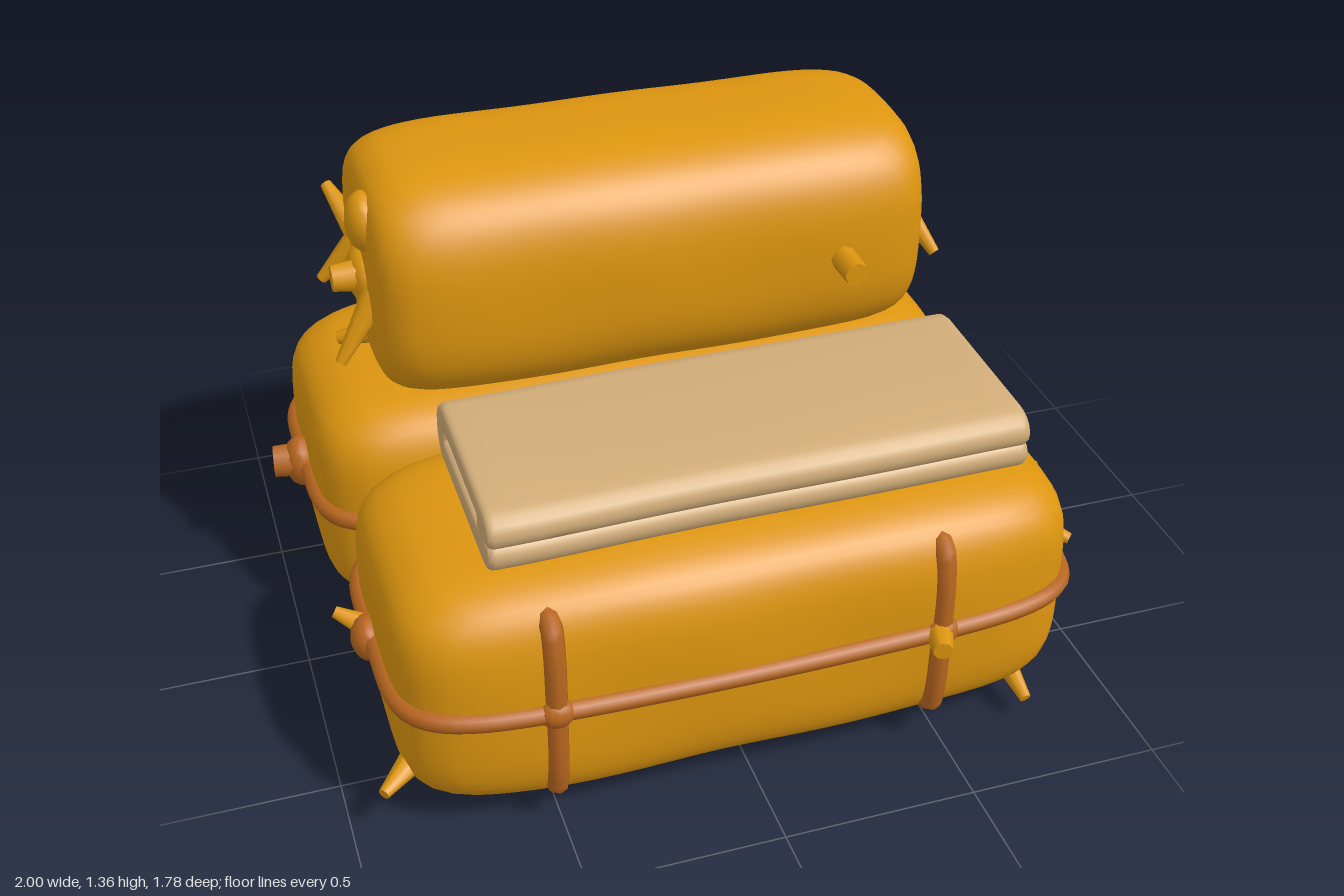
import * as THREE from 'three';
import { mergeVertices, toCreasedNormals } from 'three/addons/utils/BufferGeometryUtils.js';

const V = (x, y, z) => new THREE.Vector3(x, y, z);
const canvas = new THREE.MeshStandardMaterial({ color: 0xdd950f });
canvas.name = 'ochreCanvas';
const rope = new THREE.MeshStandardMaterial({ color: 0xb8661f });
rope.name = 'brownRope';
const wool = new THREE.MeshStandardMaterial({ color: 0xd2ad79 });
wool.name = 'tanWool';

function add(parent, name, geometry, material) {
  const mesh = new THREE.Mesh(geometry, material);
  mesh.name = name;
  parent.add(mesh);
  return mesh;
}

// Stuffed shape: a cube blown out to rounded ends (e1) and a rounded section (e2)
function stuffed(half, e1, e2, ripple) {
  let g = new THREE.BoxGeometry(2, 2, 2, 36, 20, 20);
  g.deleteAttribute('normal');
  g.deleteAttribute('uv');
  g = mergeVertices(g);
  const p = g.attributes.position;
  for (let i = 0; i < p.count; i++) {
    const v = V().fromBufferAttribute(p, i);
    const section = Math.pow(Math.abs(v.y) ** e2 + Math.abs(v.z) ** e2, 1 / e2);
    v.divideScalar(Math.pow(Math.abs(v.x) ** e1 + section ** e1, 1 / e1));
    const k = 1 + ripple * Math.sin(5 * v.x + 2 * v.z) * Math.cos(3 * v.y + 4 * v.x);
    v.multiply(half);
    p.setXYZ(i, v.x, v.y * k, v.z * k);
  }
  g.computeVertexNormals();
  return g;
}

// Tapered peg between two points
function peg(parent, name, a, b, r0, r1, material) {
  const d = b.clone().sub(a);
  const mesh = add(parent, name, new THREE.CylinderGeometry(r1, r0, d.length(), 8), material);
  mesh.position.copy(a).addScaledVector(d, 0.5);
  mesh.quaternion.setFromUnitVectors(V(0, 1, 0), d.normalize());
}

// Loose ends fanning out from one root
function fan(parent, root, ...tips) {
  for (const tip of tips) peg(parent, 'looseEnd', root, tip, 0.038, 0.015, canvas);
}

function knob(parent, name, at, size, material) {
  const mesh = add(parent, name, new THREE.SphereGeometry(1, 12, 8), material);
  mesh.position.copy(at);
  mesh.scale.copy(size);
}

// Tied bale: body, a rope round the middle and two upright straps on the outer face
function bale(name, half, z, side) {
  const group = new THREE.Group();
  group.name = name;
  group.position.set(0, 0.37, z);
  add(group, 'baleBody', stuffed(half, 6, 4.5, 0.012), canvas);

  const ring = [];
  for (let i = 0; i < 72; i++) {
    const t = (i / 72) * Math.PI * 2, c = Math.cos(t), s = Math.sin(t);
    const n = Math.pow(c ** 6 + s ** 6, 1 / 6);
    ring.push(V(half.x * c / n, 0.01 + 0.008 * Math.sin(3 * t), half.z * s / n));
  }
  add(group, 'middleRope', new THREE.TubeGeometry(new THREE.CatmullRomCurve3(ring, true), 144, 0.026, 8, true), rope);

  for (const x of [-0.51, 0.47]) {
    const pts = [], inset = Math.pow(1 - Math.abs(x / half.x) ** 6, 1 / 6);
    for (let i = 0; i <= 16; i++) {
      const t = -0.75 + 1.5 * i / 16, c = Math.cos(t), s = Math.sin(t);
      const n = Math.pow(c ** 4.5 + Math.abs(s) ** 4.5, 1 / 4.5) / inset;
      const k = i === 0 || i === 16 ? 0.93 : 1;
      pts.push(V(x, k * half.y * s / n, side * k * half.z * c / n));
    }
    add(group, 'uprightStrap', new THREE.TubeGeometry(new THREE.CatmullRomCurve3(pts), 32, 0.027, 8), rope);
    knob(group, 'strapKnot', V(x, 0.01, side * half.z), V(0.045, 0.04, 0.035), rope);
  }
  return group;
}

// Folded blanket: flattened loop section with a fold line along the front
function blanket() {
  const group = new THREE.Group();
  group.name = 'foldedBlanket';
  const s = new THREE.Shape();
  s.moveTo(-0.21, -0.075);
  s.lineTo(0.22, -0.075);
  s.bezierCurveTo(0.29, -0.075, 0.29, 0.075, 0.2, 0.075);
  s.lineTo(-0.21, 0.065);
  s.bezierCurveTo(-0.28, 0.065, -0.28, 0.005, -0.255, 0);
  s.lineTo(-0.23, -0.006);
  s.lineTo(-0.255, -0.012);
  s.bezierCurveTo(-0.28, -0.02, -0.28, -0.075, -0.21, -0.075);
  const slot = new THREE.Path();
  slot.moveTo(-0.17, -0.028);
  slot.lineTo(-0.17, 0.026);
  slot.lineTo(0.19, 0.03);
  slot.quadraticCurveTo(0.225, 0, 0.19, -0.028);
  slot.closePath();
  s.holes.push(slot);
  const loop = new THREE.ExtrudeGeometry(s, {
    depth: 1.32, steps: 24, curveSegments: 8,
    bevelEnabled: true, bevelThickness: 0.02, bevelSize: 0.012, bevelSegments: 3,
  });
  loop.translate(0, 0, -0.66);
  loop.rotateY(Math.PI / 2);
  const sag = (geo) => {
    const p = geo.attributes.position;
    for (let i = 0; i < p.count; i++) {
      const x = p.getX(i);
      p.setY(i, p.getY(i) + 0.007 * Math.sin(4 * x + 0.6) + 0.01 * x * x);
      p.setZ(i, p.getZ(i) + 0.006 * Math.sin(6 * x));
    }
    return geo;
  };
  add(group, 'outerFold', toCreasedNormals(sag(loop), 0.9), wool);
  const core = new THREE.BoxGeometry(1.3, 0.036, 0.34, 24, 1, 1);
  add(group, 'innerFold', toCreasedNormals(sag(core), 0.6), wool);
  group.position.set(0.055, 0.787, 0.39);
  return group;
}

export function createModel() {
  const model = new THREE.Group();
  model.name = 'baggageStack';

  model.add(bale('frontBale', V(0.87, 0.335, 0.395), 0.41, 1));
  model.add(bale('backBale', V(0.905, 0.335, 0.395), -0.41, -1));
  model.add(blanket());

  // Bedroll resting on the back bale
  const roll = add(model, 'bedroll', stuffed(V(0.73, 0.315, 0.33), 8, 3, 0.008), canvas);
  roll.position.set(0, 1.045, -0.255);

  // Knots and tails mirrored on both ends
  for (const s of [-1, 1]) {
    knob(model, 'backEndKnot', V(s * 0.92, 0.38, -0.4), V(0.05, 0.075, 0.06), rope);
    peg(model, 'backEndTail', V(s * 0.91, 0.385, -0.4), V(s * 0.995, 0.385, -0.41), 0.05, 0.045, rope);
    knob(model, 'frontEndKnot', V(s * 0.88, 0.37, 0.39), V(0.045, 0.06, 0.06), rope);
    peg(model, 'backCornerTail', V(s * 0.77, 0.36, -0.72), V(s * 0.84, 0.41, -0.84), 0.03, 0.014, rope);
    peg(model, 'backCornerTail', V(s * 0.8, 0.36, -0.68), V(s * 0.85, 0.31, -0.79), 0.03, 0.012, rope);
    peg(model, 'rollTie', V(s * 0.68, 0.76, -0.4), V(s * 0.78, 0.73, -0.44), 0.035, 0.018, canvas);
    peg(model, 'rollTieTail', V(s * 0.6, 0.7, -0.46), V(s * 0.7, 0.76, -0.47), 0.03, 0.02, rope);
  }
  peg(model, 'backTail', V(0.45, 0.38, -0.78), V(0.44, 0.38, -0.89), 0.045, 0.03, rope);

  // Front bale: toggle, end tails, lower corner gathers and an upright fold
  peg(model, 'frontToggle', V(0.47, 0.38, 0.78), V(0.44, 0.38, 0.88), 0.04, 0.025, canvas);
  fan(model, V(0.86, 0.37, 0.4), V(0.98, 0.33, 0.51), V(0.94, 0.48, 0.34));
  fan(model, V(-0.85, 0.37, 0.38), V(-0.95, 0.42, 0.33));
  fan(model, V(-0.82, 0.17, 0.62), V(-0.92, 0.15, 0.71));
  fan(model, V(-0.58, 0.1, 0.6), V(-0.59, 0.01, 0.64));
  fan(model, V(0.72, 0.14, 0.62), V(0.74, 0.07, 0.79), V(0.83, 0.04, 0.57), V(0.88, 0.1, 0.5));
  peg(model, 'endFold', V(0.84, 0.62, 0.33), V(0.86, 0.14, 0.34), 0.02, 0.025, canvas);

  // Bedroll: front toggle, then the gathered ends
  peg(model, 'rollToggle', V(0.47, 1.04, 0.04), V(0.47, 1.04, 0.17), 0.035, 0.033, canvas);
  fan(model, V(0.73, 1.06, -0.25), V(0.82, 0.9, -0.11), V(0.83, 0.88, -0.36), V(0.77, 1.16, -0.32));
  fan(model, V(0.68, 1.05, -0.47), V(0.78, 1.12, -0.58), V(0.76, 1.03, -0.57));
  fan(model, V(-0.71, 1.02, -0.14), V(-0.82, 0.86, -0.1));
  fan(model, V(-0.7, 1.05, -0.4), V(-0.81, 0.93, -0.42), V(-0.76, 1.15, -0.53));
  peg(model, 'rollEndStub', V(-0.7, 1.05, -0.2), V(-0.81, 1.05, -0.2), 0.05, 0.035, canvas);
  knob(model, 'rollGather', V(0.74, 1.06, -0.25), V(0.07, 0.08, 0.08), canvas);
  knob(model, 'rollGather', V(-0.72, 1.22, -0.16), V(0.05, 0.08, 0.07), canvas);
  knob(model, 'rollGather', V(-0.72, 1.04, -0.22), V(0.05, 0.08, 0.09), canvas);
  return model;
}
